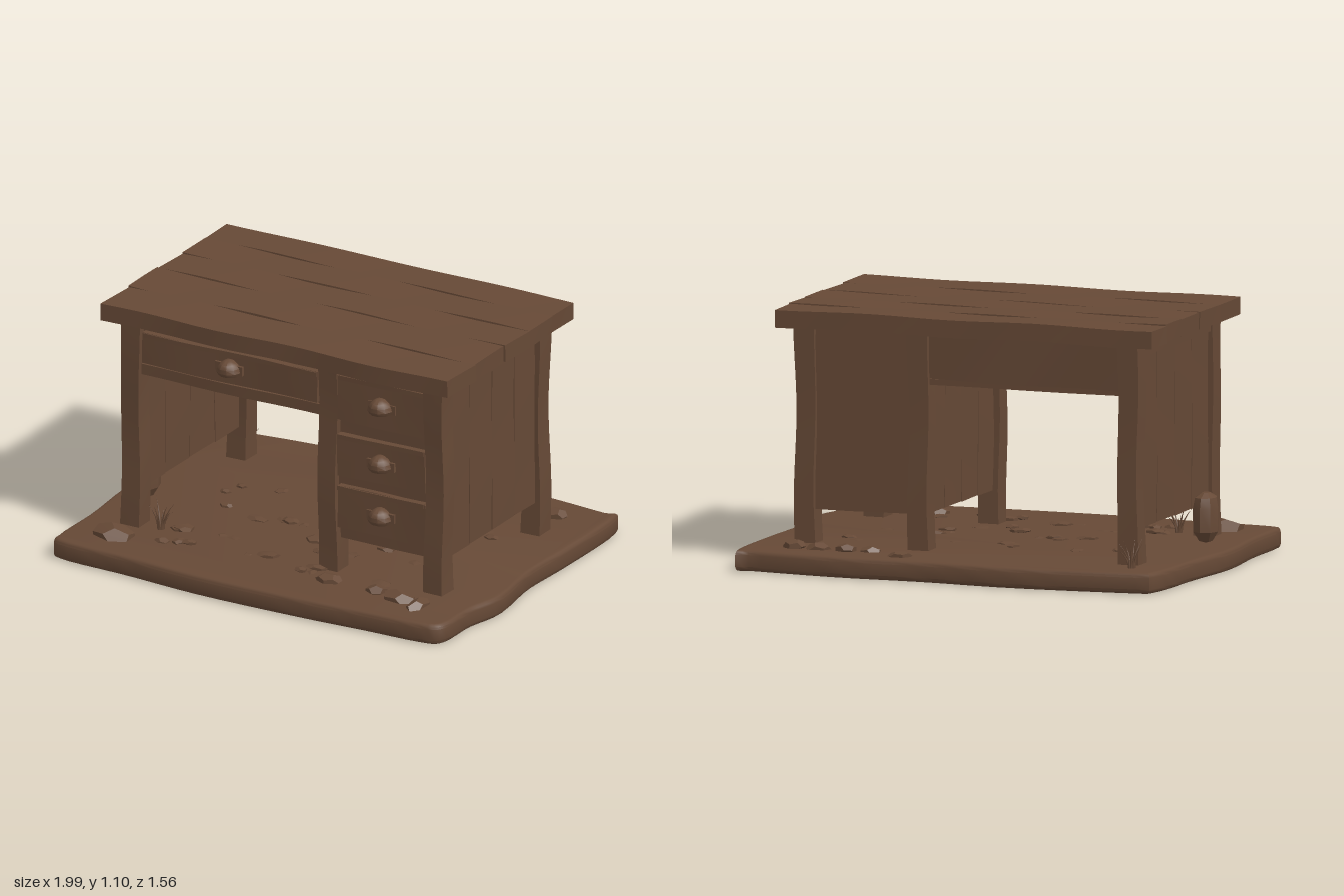
import * as THREE from 'three';
import { toCreasedNormals } from 'three/addons/utils/BufferGeometryUtils.js';

const agedBrown = new THREE.MeshStandardMaterial({ color: 0x664936 });
agedBrown.name = 'agedBrown';

export function createModel() {
  const model = new THREE.Group();
  model.name = 'oldDesk';

  let seed = 7;
  const rand = () => (seed = (seed * 16807) % 2147483647) / 2147483647;

  const add = (geometry, name, x = 0, y = 0, z = 0) => {
    const mesh = new THREE.Mesh(geometry, agedBrown);
    mesh.name = name;
    mesh.position.set(x, y, z);
    model.add(mesh);
    return mesh;
  };

  // Moves every vertex by a smooth rule that depends on position only, so faces stay joined
  const warp = (geometry, amount, phase) => {
    const p = geometry.attributes.position;
    for (let i = 0; i < p.count; i++) {
      const x = p.getX(i), y = p.getY(i), z = p.getZ(i);
      p.setXYZ(i,
        x + amount * Math.sin(9 * y + 7 * z + phase),
        y + amount * Math.sin(8 * x + 6 * z + phase * 2),
        z + amount * Math.sin(9 * x + 8 * y + phase * 3));
    }
    geometry.computeVertexNormals();
    return geometry;
  };

  // Worn timber given by its low and high corners
  const timber = (name, x0, x1, y0, y1, z0, z1, wear = 0.004) => {
    const n = (s) => Math.max(1, Math.round(s / 0.09));
    const g = new THREE.BoxGeometry(x1 - x0, y1 - y0, z1 - z0, n(x1 - x0), n(y1 - y0), n(z1 - z0));
    return add(warp(g, wear, rand() * 6), name, (x0 + x1) / 2, (y0 + y1) / 2, (z0 + z1) / 2);
  };

  // Row of boards along x (or along z for side panels)
  const boards = (name, axis, a0, a1, count, y0, y1, c0, c1) => {
    const step = (a1 - a0) / count;
    for (let i = 0; i < count; i++) {
      const a = a0 + i * step, b = a + step - 0.003;
      if (axis === 'x') timber(name, a, b, y0, y1, c0, c1, 0.002);
      else timber(name, c0, c1, y0, y1, a, b, 0.002);
    }
  };

  // Ground slab with a wavering outline
  const outline = [
    [-0.93, -0.72], [-0.65, -0.755], [-0.28, -0.78], [0.1, -0.76], [0.48, -0.77], [0.88, -0.735],
    [0.95, -0.71], [0.96, -0.3], [0.955, 0], [0.995, 0.3], [0.96, 0.5], [0.955, 0.7],
    [0.88, 0.745], [0.6, 0.755], [0.3, 0.77], [-0.2, 0.775], [-0.6, 0.745], [-0.92, 0.73],
    [-0.965, 0.67], [-0.97, 0.4], [-1, 0.05], [-0.97, -0.3], [-0.955, -0.6],
  ].map(([x, z]) => new THREE.Vector2(x * 0.98, -z * 0.975));
  const curve = new THREE.SplineCurve([...outline, outline[0]]);
  const slab = new THREE.ExtrudeGeometry(new THREE.Shape(curve.getPoints(90).slice(0, -1)),
    { depth: 0.05, bevelEnabled: true, bevelThickness: 0.02, bevelSize: 0.02, bevelSegments: 3 });
  slab.rotateX(-Math.PI / 2);
  add(toCreasedNormals(slab, 0.7), 'groundSlab', 0, 0.02, 0);

  // Table top planks
  const seams = [-0.555, -0.37, -0.178, 0.02, 0.26, 0.493];
  for (let i = 0; i < 5; i++) {
    const dx = (rand() - 0.5) * 0.012;
    timber('topPlank', -0.862 + dx, 0.843 + dx, 1.02, 1.095, seams[i] + 0.002, seams[i + 1] - 0.002, 0.003);
  }
  timber('topCore', -0.845, 0.825, 1.025, 1.085, -0.54, 0.475, 0);

  // Legs, widening a little at the foot
  const leg = (name, x, z) => {
    const g = new THREE.BoxGeometry(0.086, 0.94, 0.088, 2, 12, 2);
    const p = g.attributes.position;
    for (let i = 0; i < p.count; i++) {
      const t = p.getY(i) / 0.47, s = 1 + 0.08 * t * t;
      p.setX(i, p.getX(i) * s);
      p.setZ(i, p.getZ(i) * s);
    }
    add(warp(g, 0.004, rand() * 6), name, x, 0.55, z);
  };
  leg('frontRightLeg', -0.752, 0.386);
  leg('frontMiddleLeg', 0.218, 0.386);
  leg('frontLeftLeg', 0.742, 0.386);
  leg('backRightLeg', -0.752, -0.483);
  leg('backMiddleLeg', 0.218, -0.43);
  leg('backLeftLeg', 0.742, -0.4);

  // Side panels and their top rails
  boards('leftSidePanel', 'z', -0.37, 0.36, 4, 0.235, 0.98, 0.735, 0.765);
  boards('rightSidePanel', 'z', -0.45, 0.36, 4, 0.235, 0.98, -0.775, -0.745);
  boards('innerSidePanel', 'z', -0.4, 0.36, 4, 0.235, 0.98, 0.2, 0.235);
  timber('leftTopRail', 0.725, 0.775, 0.965, 1.025, -0.38, 0.37, 0.002);
  timber('rightTopRail', -0.785, -0.735, 0.965, 1.025, -0.46, 0.37, 0.002);

  // Back of the drawer pedestal and the open knee space
  boards('pedestalBack', 'x', 0.24, 0.72, 1, 0.235, 1.02, -0.425, -0.395);
  timber('pedestalFloor', 0.22, 0.74, 0.237, 0.262, -0.4, 0.39, 0.001);
  const apron = timber('backApron', -0.73, 0.2, 0.82, 1.02, -0.475, -0.435, 0.003);
  apron.rotation.y = -0.05;
  timber('drawerUnderside', -0.745, 0.205, 0.795, 0.82, -0.45, 0.39, 0.001);

  // Front frame behind the drawers
  timber('wideFrame', -0.72, 0.2, 0.778, 1.025, 0.36, 0.398, 0.001);
  timber('wideLowerRail', -0.715, 0.19, 0.778, 0.825, 0.37, 0.412, 0.002);
  timber('pedestalFrame', 0.24, 0.72, 0.237, 1.025, 0.36, 0.398, 0.001);

  // Drawer front with a thin lip, back plate and cup pull
  const drawer = (x0, x1, y0, y1) => {
    const x = (x0 + x1) / 2, y = (y0 + y1) / 2;
    timber('drawerFront', x0, x1, y0, y1, 0.385, 0.424, 0.003);
    timber('drawerLip', x0 + 0.004, x1 - 0.004, y1 - 0.018, y1 + 0.002, 0.39, 0.43, 0.002);
    timber('pullPlate', x - 0.068, x + 0.068, y - 0.022, y + 0.018, 0.41, 0.432, 0.003);
    const cup = new THREE.SphereGeometry(1, 10, 7);
    const p = cup.attributes.position;
    for (let i = 0; i < p.count; i++) {
      const py = p.getY(i);
      p.setXYZ(i, p.getX(i) * (0.055 - 0.012 * py), Math.max(py, -0.8) * 0.042, p.getZ(i) * 0.058);
    }
    add(toCreasedNormals(cup, 0.6), 'drawerPull', x, y, 0.43);
  };
  drawer(-0.695, 0.168, 0.835, 0.975);
  drawer(0.265, 0.695, 0.783, 0.985);
  drawer(0.265, 0.695, 0.532, 0.718);
  drawer(0.265, 0.695, 0.292, 0.482);

  // Stones lying in the ground
  const stone = (x, z, rx, ry, rz) => {
    const g = new THREE.DodecahedronGeometry(1, 0);
    g.rotateY(rand() * 6);
    g.scale(rx, ry, rz);
    add(toCreasedNormals(warp(g, 0.008, rand() * 6), 0.4), 'stone', x, 0.09, z);
  };
  [
    [-0.76, 0.56, 0.105, 0.055, 0.08], [-0.54, 0.52, 0.04, 0.025, 0.03], [0.28, 0.53, 0.06, 0.025, 0.045],
    [0.64, 0.56, 0.085, 0.04, 0.055], [0.75, 0.57, 0.04, 0.04, 0.08], [0.52, 0.53, 0.05, 0.03, 0.04],
    [0.22, -0.65, 0.055, 0.02, 0.045], [0.39, -0.58, 0.05, 0.03, 0.04], [0.5, -0.59, 0.05, 0.025, 0.035],
    [0.62, -0.59, 0.055, 0.03, 0.04], [0.74, -0.585, 0.05, 0.03, 0.045],
  ].forEach((s) => stone(...s));
  for (let i = 0; i < 34; i++) {
    stone(-0.62 + rand() * 1.25, -0.3 + rand() * 0.85, 0.025 + rand() * 0.03, 0.012, 0.02 + rand() * 0.025);
  }

  // Upright boulder leaning on the right side
  const boulder = new THREE.LatheGeometry([
    [0, -0.11], [0.035, -0.1], [0.064, -0.06], [0.066, 0.04], [0.055, 0.085], [0.02, 0.105], [0, 0.105],
  ].map(([r, y]) => new THREE.Vector2(r, y)), 8);
  boulder.scale(0.85, 1, 1.08);
  add(toCreasedNormals(boulder, 0.4), 'boulder', -0.85, 0.208, 0.13);

  // Grass tufts: bent, tapering blades
  const tuft = (x, z) => {
    for (let i = 0; i < 9; i++) {
      const h = 0.06 + rand() * 0.075, lean = 0.02 + rand() * 0.04, turn = i * 2.4;
      const g = new THREE.ConeGeometry(0.007, h, 4, 4);
      g.translate(0, h / 2, 0);
      const p = g.attributes.position;
      for (let k = 0; k < p.count; k++) {
        const t = p.getY(k) / h;
        p.setX(k, p.getX(k) + lean * t * t + 0.01);
      }
      g.computeVertexNormals();
      add(g, 'grassBlade', x, 0.085, z).rotation.y = turn;
    }
  };
  tuft(-0.62, 0.4);
  tuft(-0.8, -0.6);

  return model;
}
